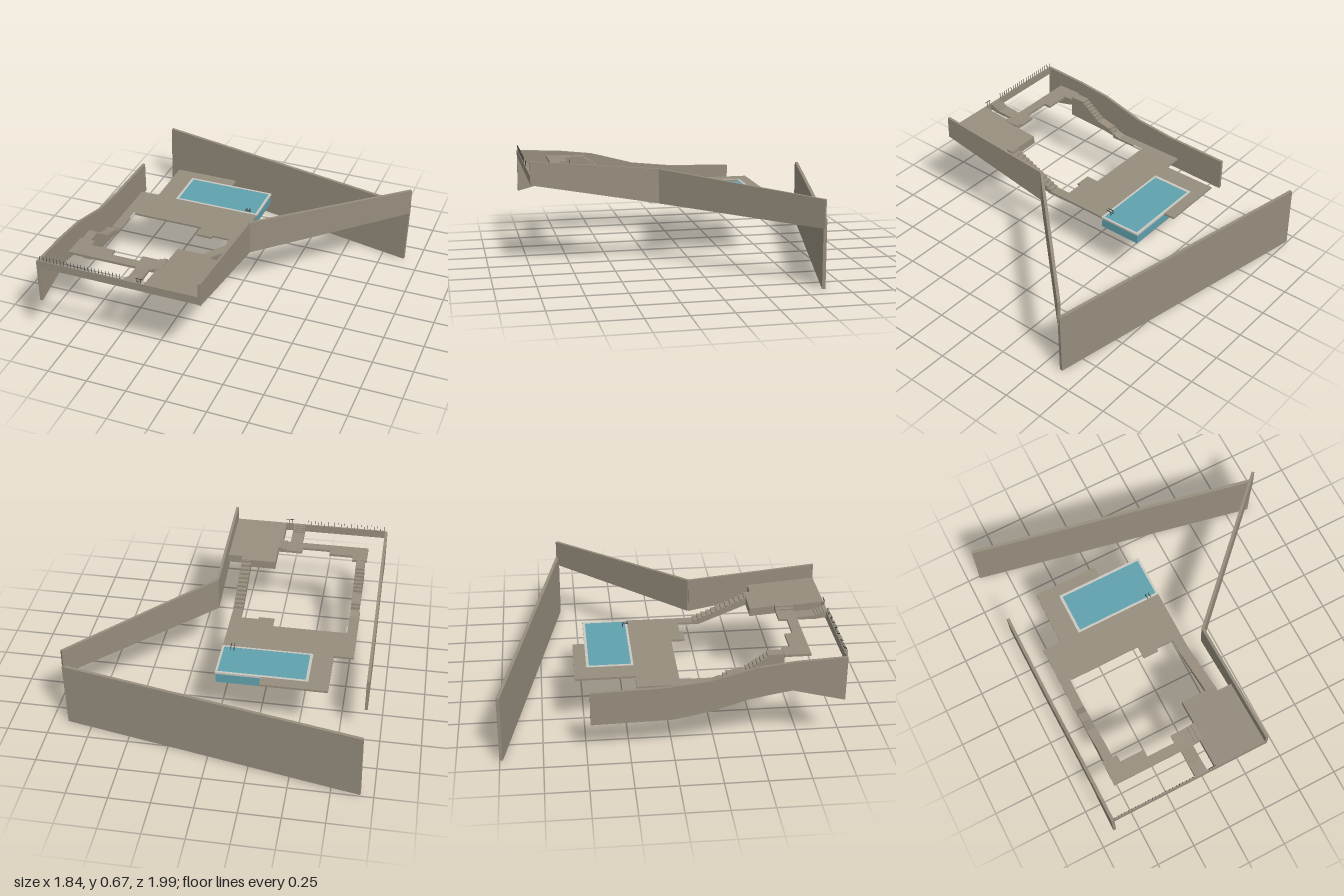
import * as THREE from 'three';

const flat = (name, color) => {
  const m = new THREE.MeshStandardMaterial({ color });
  m.name = name;
  return m;
};

export function createModel() {
  const model = new THREE.Group();
  const stone = flat('stone', 0x968d7d);
  const water = flat('water', 0x5fa1ae);
  const trim = flat('pale trim', 0xc9c7c0);
  const metal = flat('dark metal', 0x45433f);

  const toShape = (pts) => new THREE.Shape(pts.map(([x, y]) => new THREE.Vector2(x, y)));
  const extrude = (shape, depth) => new THREE.ExtrudeGeometry(shape, { depth, bevelEnabled: false });
  const add = (name, geometry, material = stone) => {
    const mesh = new THREE.Mesh(geometry, material);
    mesh.name = name;
    model.add(mesh);
    return mesh;
  };
  const box = (name, x0, x1, y0, y1, z0, z1, material) =>
    add(name, new THREE.BoxGeometry(x1 - x0, y1 - y0, z1 - z0)
      .translate((x0 + x1) / 2, (y0 + y1) / 2, (z0 + z1) / 2), material);

  // Horizontal slab from an [x, z] outline
  const slab = (name, outline, y0, y1, material, hole) => {
    const shape = toShape(outline.map(([x, z]) => [x, -z]));
    if (hole) shape.holes.push(toShape(hole.map(([x, z]) => [x, -z])));
    return add(name, extrude(shape, y1 - y0).rotateX(-Math.PI / 2).translate(0, y0, 0), material);
  };

  // Side profile in [z, y], carried across x0..x1
  const across = (name, profile, x0, x1, material) =>
    add(name, extrude(toShape(profile), x1 - x0).rotateY(-Math.PI / 2).translate(x1, 0, 0), material);

  // Straight wall from a to b; profile in [distance, y]
  const wall = (name, a, b, profile, t = 0.02) => {
    const angle = Math.atan2(a[1] - b[1], b[0] - a[0]);
    return add(name, extrude(toShape(profile), t).translate(0, 0, -t / 2)
      .rotateY(angle).translate(a[0], 0, a[1]));
  };

  // Stepped flight rising toward +z over a given underside
  const flight = (z0, y0, z1, y1, n) => {
    const pts = [];
    for (let i = 0; i < n; i++) {
      const y = y0 + (y1 - y0) * (i + 1) / n;
      pts.push([z0 + (z1 - z0) * i / n, y], [z0 + (z1 - z0) * (i + 1) / n, y]);
    }
    return pts;
  };

  // Boundary walls
  const backLen = Math.hypot(1.82, 0.38);
  wall('backWall', [-0.915, -0.99], [0.905, -0.61],
    [[-0.008, 0.01], [backLen - 0.005, 0], [backLen + 0.008, 0.415], [0, 0.42]]);
  const sideLen = Math.hypot(0.8, 0.81);
  wall('angledWall', [0.11, 0.2], [0.91, -0.61],
    [[0, 0.38], [sideLen, 0.36], [sideLen, 0.53], [0, 0.595]], 0.018);
  across('rightWall', [[0.2, 0.38], [0.99, 0.525], [0.99, 0.67], [0.2, 0.595]], 0.101, 0.118);
  across('leftWall', [
    [-0.475, 0.21], [0, 0.22], [0.23, 0.265], [0.43, 0.33], [0.56, 0.355], [0.68, 0.375], [0.99, 0.295],
    [0.99, 0.575], [0.7, 0.56], [0.48, 0.535], [0.33, 0.495], [0.2, 0.46], [-0.06, 0.432], [-0.475, 0.42],
  ], -0.912, -0.894);

  // Lower terrace with the deck wrapping the pool
  slab('terrace', [
    [-0.675, -0.55], [-0.265, -0.55], [-0.265, -0.478], [-0.55, -0.478], [-0.55, -0.2], [0.01, -0.2],
    [0.01, 0.22], [-0.053, 0.22], [-0.053, 0.115], [-0.165, 0.115], [-0.165, 0.135], [-0.265, 0.135],
    [-0.265, 0.052], [-0.733, 0.052], [-0.733, 0.29], [-0.795, 0.29], [-0.795, -0.2], [-0.675, -0.2],
  ], 0.367, 0.38);
  box('walkTrim', -0.053, 0.008, 0.358, 0.367, 0.06, 0.24, trim);
  box('cornerTrim', -0.733, -0.725, 0.37, 0.385, 0.052, 0.115, trim);

  // Pool
  box('poolBasin', -0.54, 0.008, 0.308, 0.373, -0.475, -0.203, water);
  slab('poolRim', [[-0.55, -0.478], [0.012, -0.478], [0.012, -0.2], [-0.55, -0.2]], 0.37, 0.382, trim,
    [[-0.533, -0.462], [-0.002, -0.462], [-0.002, -0.214], [-0.533, -0.214]]);
  for (const x of [-0.065, -0.045]) {
    box('poolLadder', x - 0.002, x + 0.002, 0.37, 0.4, -0.232, -0.228, metal);
    box('poolLadder', x - 0.002, x + 0.002, 0.396, 0.4, -0.232, -0.195, metal);
  }

  // Left stair: short flight, landing, long flight
  across('leftStair', [
    [0.22, 0.372], ...flight(0.28, 0.38, 0.34, 0.425, 3),
    ...flight(0.41, 0.425, 0.57, 0.545, 8), [0.65, 0.545], [0.65, 0.405], [0.38, 0.395],
  ], -0.79, -0.733);

  // Right stair
  across('rightStair', [
    [0.21, 0.367], ...flight(0.21, 0.38, 0.56, 0.54, 12), [0.56, 0.495], [0.25, 0.367],
  ], -0.053, 0.01);

  // Front deck
  slab('frontDeck', [
    [-0.8, 0.645], [-0.705, 0.645], [-0.705, 0.692], [-0.55, 0.692], [-0.55, 0.74], [-0.37, 0.74],
    [-0.37, 0.69], [-0.21, 0.69], [-0.21, 0.802], [-0.8, 0.802],
  ], 0.532, 0.547);
  box('deckStep', -0.262, -0.21, 0.547, 0.556, 0.69, 0.8);
  box('deckStep', -0.237, -0.21, 0.556, 0.565, 0.69, 0.8);
  across('frontStair', [
    [0.8, 0.532], [0.8, 0.547], ...flight(0.9, 0.547, 0.98, 0.58, 5), [0.98, 0.54], [0.92, 0.532],
  ], -0.36, -0.28);

  // Sloping entrance platform
  const slope = (z0, z1) => {
    const top = (z) => 0.58 - (0.99 - z) * 0.083;
    return [[z0, top(z0) - 0.052], [z1, top(z1) - 0.052], [z1, top(z1)], [z0, top(z0)]];
  };
  across('platform', slope(0.54, 0.99), -0.212, 0.01);
  across('platformRight', slope(0.575, 0.99), 0.01, 0.102);
  across('platformLeft', slope(0.8, 0.99), -0.23, -0.212);

  // Front beam with slim railing posts
  box('frontBeam', -0.896, -0.23, 0.53, 0.58, 0.98, 0.99);
  const posts = [-0.27, -0.25];
  for (let i = 0; i < 24; i++) posts.push(-0.888 + i * 0.0222);
  for (const x of posts) box('railingPost', x - 0.001, x + 0.001, 0.58, 0.613, 0.984, 0.987, metal);
  box('railingBar', -0.28, -0.228, 0.609, 0.612, 0.984, 0.987, metal);

  return model;
}
